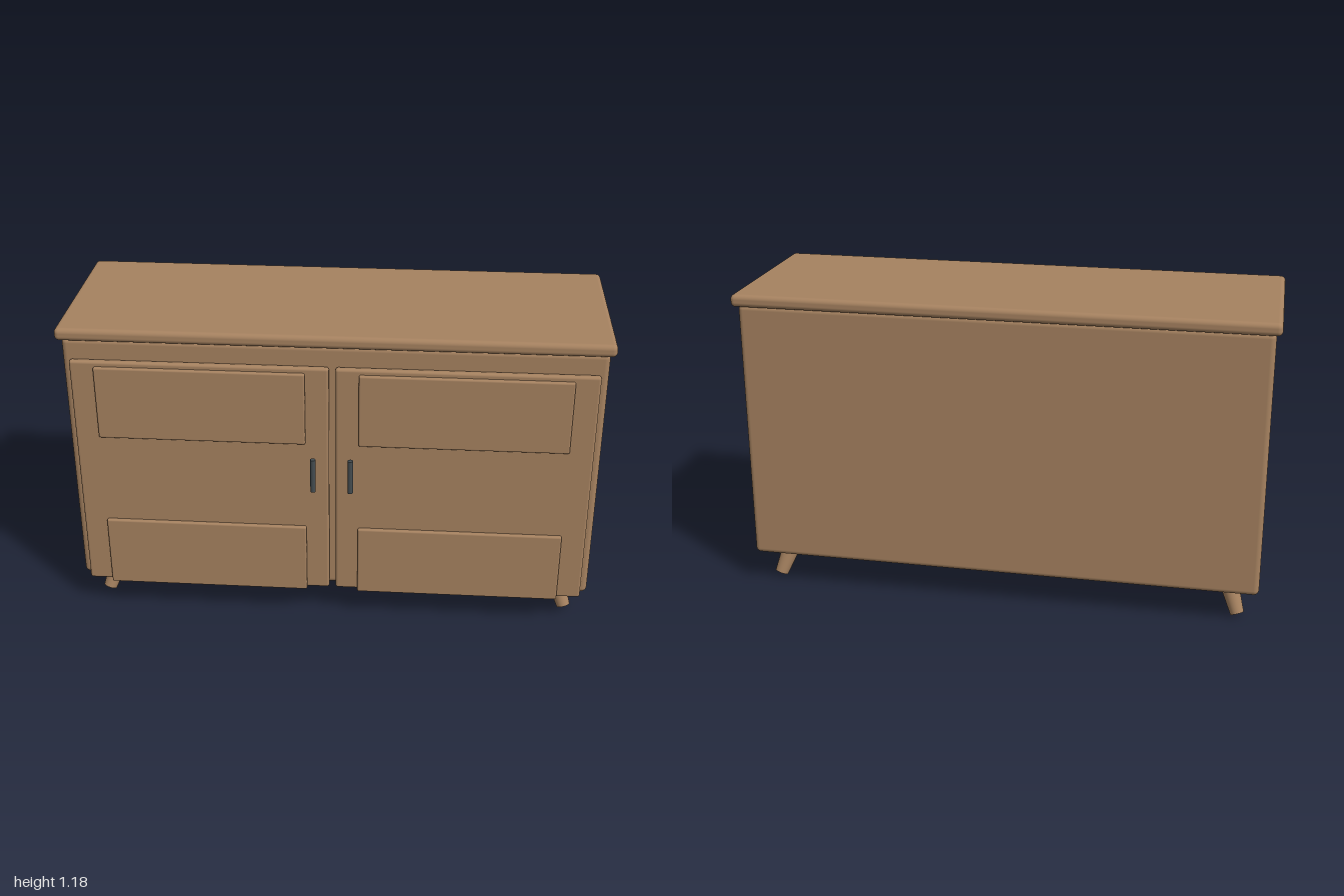
import * as THREE from 'three';
import { RoundedBoxGeometry } from 'three/addons/geometries/RoundedBoxGeometry.js';

export function createModel() {
  const wood = new THREE.MeshStandardMaterial({ color: 0xa68260 });
  wood.name = 'wood';
  const metal = new THREE.MeshStandardMaterial({ color: 0x444c50 });
  metal.name = 'dark metal';

  const model = new THREE.Group();
  model.name = 'sideboard';

  // Rounded box given by its low and high corners
  function box(name, lo, hi, radius) {
    const size = hi.map((v, i) => v - lo[i]);
    const mesh = new THREE.Mesh(new RoundedBoxGeometry(...size, 4, radius), wood);
    mesh.position.set(...hi.map((v, i) => (v + lo[i]) / 2));
    mesh.name = name;
    model.add(mesh);
  }

  // Round rod between two points
  function rod(name, bottom, top, rBottom, rTop, material) {
    const a = new THREE.Vector3(...bottom);
    const b = new THREE.Vector3(...top);
    const axis = b.clone().sub(a);
    const geometry = new THREE.CylinderGeometry(rTop, rBottom, axis.length(), 32);
    const mesh = new THREE.Mesh(geometry, material);
    mesh.position.copy(a).add(b).multiplyScalar(0.5);
    mesh.quaternion.setFromUnitVectors(new THREE.Vector3(0, 1, 0), axis.normalize());
    mesh.name = name;
    model.add(mesh);
  }

  // Carcass and overhanging top
  box('cabinetBody', [-0.98, 0.125, -0.347], [0.98, 1.135, 0.307], 0.02);
  box('tabletop', [-1, 1.13, -0.367], [1, 1.177, 0.325], 0.018);

  for (const [side, s] of [['left', 1], ['right', -1]]) {
    // Box on one side of the cabinet front, mirrored by s
    const frontBox = (name, x0, x1, y0, y1, z0, z1, r) =>
      box(name, [Math.min(s * x0, s * x1), y0, z0], [Math.max(s * x0, s * x1), y1, z1], r);

    // Door with two raised panels
    frontBox(side + 'Door', 0.012, 0.952, 0.12, 1.058, 0.305, 0.333, 0.01);
    frontBox(side + 'UpperPanel', 0.097, 0.862, 0.756, 1.041, 0.331, 0.35, 0.007);
    frontBox(side + 'LowerPanel', 0.097, 0.862, 0.117, 0.4, 0.331, 0.35, 0.007);

    // Upright door handle
    rod(side + 'Handle', [s * 0.069, 0.567, 0.36], [s * 0.069, 0.702, 0.36], 0.01, 0.01, metal);

    // Splayed tapered legs
    rod(side + 'FrontLeg', [s * 0.905, 0.011, 0.229], [s * 0.863, 0.13, 0.187], 0.026, 0.037, wood);
    rod(side + 'BackLeg', [s * 0.905, 0.011, -0.271], [s * 0.863, 0.13, -0.229], 0.026, 0.037, wood);
  }

  return model;
}
